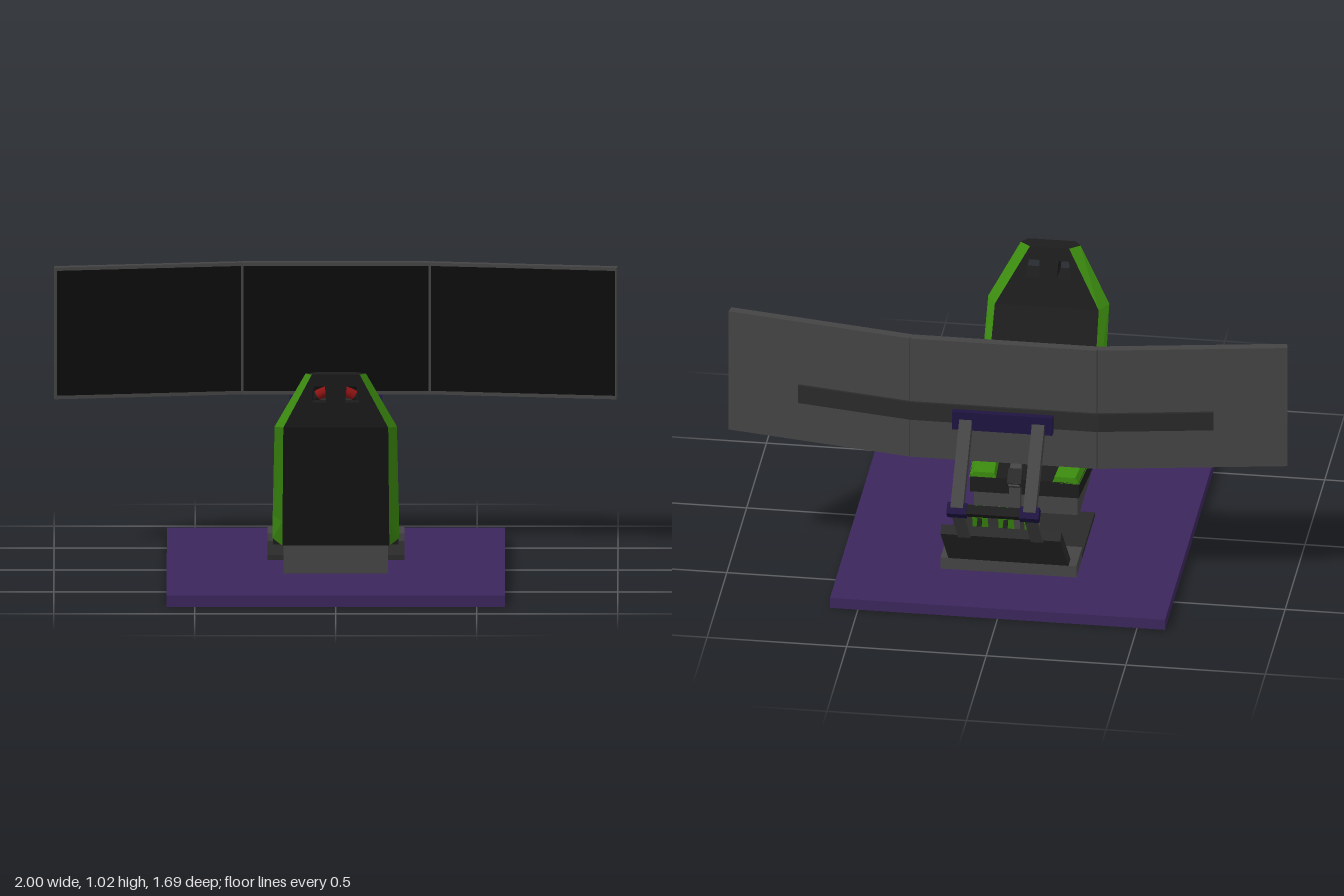
import * as THREE from 'three';

const mat = (color) => new THREE.MeshStandardMaterial({ color, side: THREE.DoubleSide, flatShading: true });
const smooth = (color) => new THREE.MeshStandardMaterial({ color });
const PURPLE = mat(0x3c265c), DEEP = mat(0x1e1440), GREY = mat(0x444444), DARK = mat(0x2a2a2a),
  BLACK = mat(0x1c1c1c), SCREEN = mat(0x0c0c0c), GREEN = mat(0x3c8c10);

export function createModel() {
  const model = new THREE.Group();
  const add = (name, geo, m, parent = model) => {
    const mesh = new THREE.Mesh(geo, m);
    mesh.name = name;
    parent.add(mesh);
    return mesh;
  };
  // box from min/max extents
  const box = (name, m, x0, x1, y0, y1, z0, z1, parent) => {
    const b = add(name, new THREE.BoxGeometry(x1 - x0, y1 - y0, z1 - z0), m, parent);
    b.position.set((x0 + x1) / 2, (y0 + y1) / 2, (z0 + z1) / 2);
    return b;
  };
  // bar running between two [y, z] points
  const beam = (name, m, x, w, t, [y0, z0], [y1, z1]) => {
    const b = add(name, new THREE.BoxGeometry(w, t, Math.hypot(y1 - y0, z1 - z0)), m);
    b.position.set(x, (y0 + y1) / 2, (z0 + z1) / 2);
    b.rotation.x = Math.atan2(y0 - y1, z1 - z0);
    return b;
  };
  // skin over rows of points; closed rows get end caps
  const skin = (name, m, rows, closed = false) => {
    const p = [], n = rows[0].length;
    const tri = (...v) => v.forEach((q) => p.push(...q));
    for (let i = 0; i + 1 < rows.length; i++)
      for (let j = 0; j < (closed ? n : n - 1); j++) {
        const k = (j + 1) % n, a = rows[i], b = rows[i + 1];
        tri(a[j], a[k], b[k], a[j], b[k], b[j]);
      }
    if (closed) {
      const first = rows[0], last = rows[rows.length - 1];
      for (let j = 1; j + 1 < n; j++) {
        tri(first[0], first[j + 1], first[j]);
        tri(last[0], last[j], last[j + 1]);
      }
    }
    const g = new THREE.BufferGeometry();
    g.setAttribute('position', new THREE.Float32BufferAttribute(p, 3));
    g.computeVertexNormals();
    return add(name, g, m);
  };
  const rect = (hw, y0, y1, z) => [[-hw, y0, z], [hw, y0, z], [hw, y1, z], [-hw, y1, z]];

  // Platform and seat base
  box('platform', PURPLE, -0.6, 0.6, 0, 0.04, -0.715, 0.84);
  box('seatBase', GREY, -0.185, 0.185, 0.04, 0.145, 0, 0.33);

  // Seat cushion with raised side strips
  skin('seatCushion', BLACK, [rect(0.195, 0.145, 0.205, -0.037), rect(0.222, 0.145, 0.205, 0.335)], true);
  for (const s of [-1, 1]) {
    const row = (inner, outer, z) => [[s * inner, 0.2, z], [s * outer, 0.2, z],
      [s * (outer - 0.015), 0.225, z], [s * (inner + 0.008), 0.225, z]];
    skin('cushionBolster', GREEN, [row(0.1, 0.197, -0.037), row(0.12, 0.224, 0.33)], true);
  }

  // Backrest sections: front and back edge [half width, y, z] and the widest half width
  const sections = [
    { f: [0.19, 0.19, 0.315], b: [0.19, 0.145, 0.365], m: 0.224 },
    { f: [0.193, 0.27, 0.315], b: [0.189, 0.24, 0.419], m: 0.224 },
    { f: [0.186, 0.603, 0.53], b: [0.186, 0.61, 0.63], m: 0.217 },
    { f: [0.07, 0.805, 0.6], b: [0.085, 0.805, 0.66], m: 0.107 },
  ];
  const edge = ([w, y, z], s) => [s * w, y, z];
  const mid = ({ f, b, m }, s) => [s * m, (f[1] + b[1]) / 2, (f[2] + b[2]) / 2];
  skin('backrestPanel', BLACK, sections.slice(0, 3).map(({ f, b }) =>
    [edge(f, -1), edge(f, 1), edge(b, 1), edge(b, -1)]), true);
  for (const s of [-1, 1]) {
    skin('backrestBolster', GREEN, sections.map((c) => [edge(c.f, s), mid(c, s), edge(c.b, s)]));
    const top = sections[3], low = sections[0];
    skin('headrestCap', BLACK, [[edge(top.f, s), edge(top.b, s)], [mid(top, s), mid(top, s)]]);
    skin('bolsterEnd', GREEN, [[edge(low.f, s), edge(low.b, s)], [mid(low, s), mid(low, s)]]);
  }

  // Headrest: slotted panel mapped between the two upper sections
  const [lo, hi] = [sections[2], sections[3]];
  const head = new THREE.Shape([[-0.186, 0], [0.186, 0], [0.08, 1], [-0.08, 1]].map((q) => new THREE.Vector2(...q)));
  for (const s of [-1, 1])
    head.holes.push(new THREE.Path([[0.033, 0.48], [0.083, 0.48], [0.078, 0.78], [0.037, 0.78]]
      .map(([x, y]) => new THREE.Vector2(s * x, y))));
  const headGeo = new THREE.ExtrudeGeometry(head, { depth: 1, bevelEnabled: false });
  const hp = headGeo.attributes.position, lerp = THREE.MathUtils.lerp;
  for (let i = 0; i < hp.count; i++) {
    const x = hp.getX(i), v = hp.getY(i), d = hp.getZ(i);
    const at = (k) => lerp(lerp(lo.f[k], hi.f[k], v), lerp(lo.b[k], hi.b[k], v), d);
    hp.setXYZ(i, x * at(0) / lerp(0.186, 0.08, v), at(1), at(2));
  }
  headGeo.computeVertexNormals();
  add('headrest', headGeo, BLACK);

  // Steering wheel: rim with marked top, three spokes, hub
  const wheel = new THREE.Group();
  wheel.name = 'steeringWheel';
  wheel.position.set(0, 0.515, -0.017);
  model.add(wheel);
  const mark = 0.55;
  const rim = add('wheelRim', new THREE.TorusGeometry(0.128, 0.018, 12, 48, Math.PI * 2 - 2 * mark), smooth(0x1c1c1c), wheel);
  rim.rotation.z = Math.PI / 2 + mark;
  const topMark = add('wheelTopMark', new THREE.TorusGeometry(0.128, 0.0185, 12, 12, 2 * mark), smooth(0x8a1212), wheel);
  topMark.rotation.z = Math.PI / 2 - mark;
  box('crossSpoke', GREY, -0.12, 0.12, -0.018, 0.018, -0.006, 0.006, wheel);
  box('lowerSpoke', GREY, -0.018, 0.018, -0.12, 0, -0.006, 0.006, wheel);
  const hub = add('wheelHub', new THREE.CylinderGeometry(0.032, 0.032, 0.018, 24), smooth(0x2a2a2a), wheel);
  hub.rotation.x = Math.PI / 2;

  // Steering column and motor housing
  const shaft = add('steeringShaft', new THREE.CylinderGeometry(0.014, 0.014, 0.09, 16), smooth(0x2a2a2a));
  shaft.rotation.x = Math.PI / 2;
  shaft.position.set(0, 0.508, -0.06);
  skin('motorHousing', DARK, [rect(0.062, 0.48, 0.54, -0.095), rect(0.062, 0.478, 0.542, -0.125),
    rect(0.075, 0.446, 0.563, -0.16), rect(0.108, 0.455, 0.568, -0.21), rect(0.082, 0.465, 0.573, -0.268)], true);

  // Wheel stand
  box('standPost', GREY, -0.02, 0.02, 0.05, 0.335, -0.285, -0.253);
  beam('standArm', GREY, 0, 0.04, 0.022, [0.46, -0.155], [0.31, -0.295]);
  beam('standClamp', DARK, 0, 0.05, 0.034, [0.355, -0.25], [0.315, -0.292]);

  // Floor plate, pedal box, pedals
  box('floorPlate', DARK, -0.243, 0.243, 0.04, 0.058, -0.3, 0.03);
  box('pedalBase', GREY, -0.243, 0.243, 0.04, 0.085, -0.438, -0.29);
  beam('pedalBoard', DARK, 0, 0.43, 0.036, [0.072, -0.4], [0.3, -0.63]);
  for (const x of [-0.093, 0, 0.093]) {
    beam('pedal', GREEN, x, 0.055, 0.008, [0.232, -0.482], [0.343, -0.52]);
    beam('pedalStem', BLACK, x, 0.016, 0.01, [0.285, -0.5], [0.235, -0.555]);
  }

  // Screens: centre panel and two wings hinged at its edges
  const TILT = Math.atan2(0.115, 0.665);
  const panel = (name, len, x, z, turn) => {
    const g = new THREE.Group();
    g.name = name;
    g.position.set(x, 0, z);
    g.rotation.y = turn;
    model.add(g);
    const h = len / 2;
    box('screenFrame', GREY, -h, h, 0.547, 1.02, -0.017, 0.016, g);
    box('screenFace', SCREEN, -h + 0.006, h - 0.006, 0.56, 1.008, 0, 0.0175, g);
    return g;
  };
  const centre = panel('centreScreen', 0.668, 0, -0.548, 0);
  box('mountRail', DARK, -0.34, 0.34, 0.7, 0.77, -0.027, -0.015, centre);
  for (const s of [-1, 1]) {
    const wing = panel('sideScreen', 0.674, s * 0.666, -0.49, -s * TILT);
    const ends = [s * -0.337, s * 0.075].sort((a, b) => a - b);
    box('mountRail', DARK, ...ends, 0.7, 0.77, -0.027, -0.015, wing);
  }

  // Folding screen mount
  box('screenBracket', DEEP, -0.18, 0.18, 0.685, 0.755, -0.598, -0.572);
  for (const x of [-0.13, 0.13]) {
    beam('upperArm', GREY, x, 0.045, 0.046, [0.715, -0.59], [0.48, -0.815]);
    beam('lowerArm', GREY, x, 0.045, 0.016, [0.28, -0.63], [0.475, -0.815]);
    beam('elbowJoint', DEEP, x, 0.07, 0.044, [0.493, -0.83], [0.463, -0.8]);
  }
  beam('elbowBar', BLACK, 0, 0.2, 0.034, [0.49, -0.827], [0.466, -0.803]);

  return model;
}
